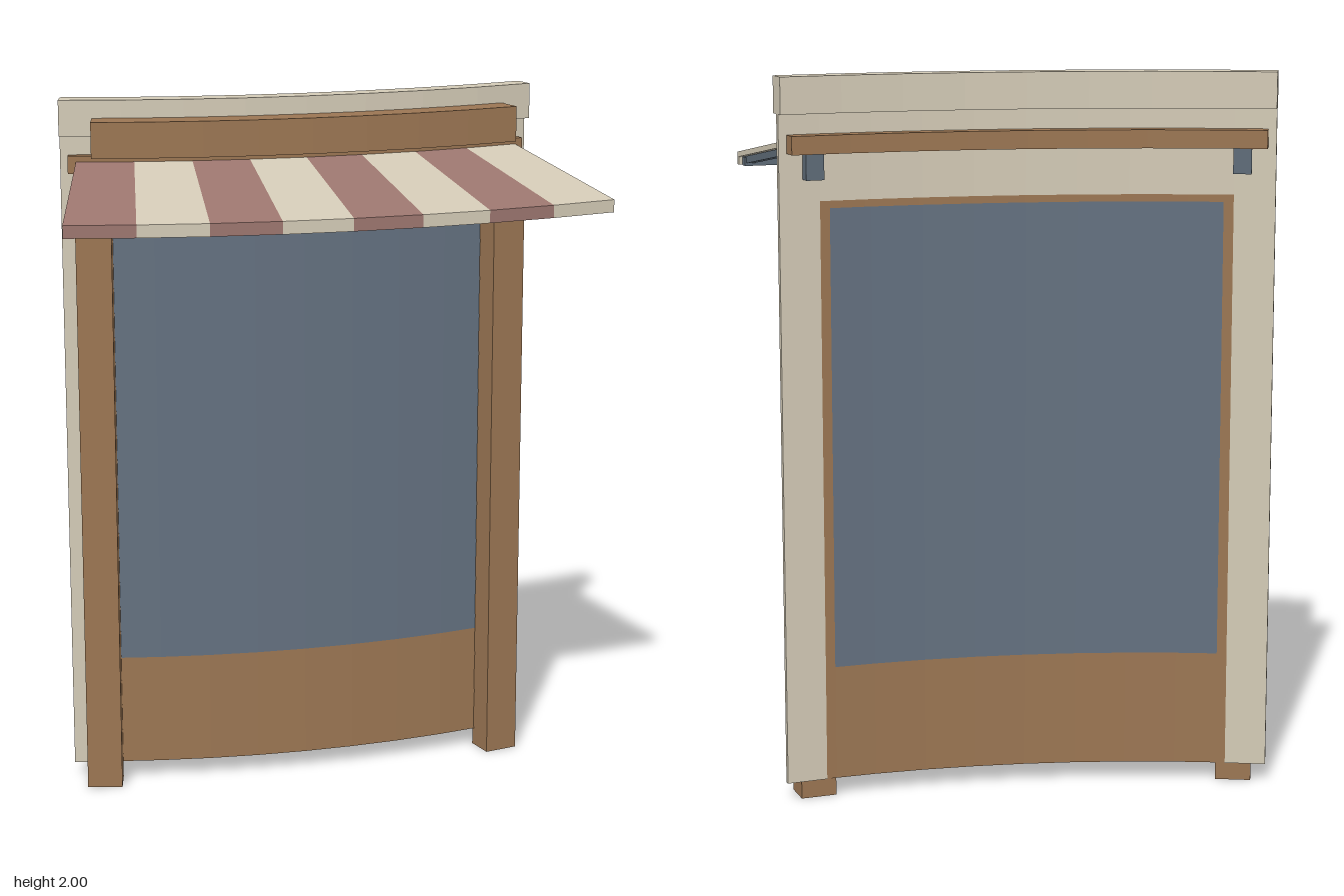
import * as THREE from 'three';

// Centre of the arc that every part follows; angle 0 points to +z, in degrees
const CX = -0.77, CZ = -2.69;
const rad = THREE.MathUtils.degToRad;
const mat = (color) => new THREE.MeshStandardMaterial({ color, flatShading: true });

// Sweep a convex cross-section of [radius, height] points around the arc
function sweep(profile, a0, a1, n) {
  const pos = [], idx = [], m = profile.length;
  for (let i = 0; i <= n; i++) {
    const a = rad(a0 + ((a1 - a0) * i) / n);
    for (const [r, y] of profile) pos.push(CX + r * Math.sin(a), y, CZ + r * Math.cos(a));
  }
  for (let i = 0; i < n; i++) {
    for (let j = 0; j < m; j++) {
      const k = (j + 1) % m, b = i * m, c = b + m;
      idx.push(b + k, b + j, c + j, b + k, c + j, c + k);
    }
  }
  for (let j = 1; j < m - 1; j++) {
    const e = n * m;
    idx.push(0, j, j + 1, e, e + j + 1, e + j);
  }
  const indexed = new THREE.BufferGeometry();
  indexed.setAttribute('position', new THREE.Float32BufferAttribute(pos, 3));
  indexed.setIndex(idx);
  const geo = indexed.toNonIndexed();
  geo.computeVertexNormals();
  return geo;
}

const rect = (r0, r1, y0, y1) => [[r0, y0], [r1, y0], [r1, y1], [r0, y1]];

export function createModel() {
  const model = new THREE.Group();
  model.name = 'curvedShopfront';
  const wood = mat(0x9b7653), cream = mat(0xd3cab6), red = mat(0x9c766f);
  const glass = mat(0x647180), metal = mat(0x5f6c78);

  const add = (parent, name, geo, material) => {
    const mesh = new THREE.Mesh(geo, material);
    mesh.name = name;
    parent.add(mesh);
    return mesh;
  };
  const arc = (name, material, r0, r1, y0, y1, a0, a1, n = 8) =>
    add(model, name, sweep(rect(r0, r1, y0, y1), a0, a1, n), material);

  // Straight box set radially at an angle
  const radialBox = (name, material, w, h, d, r, y, angle, tilt = 0) => {
    const a = rad(angle);
    const mesh = add(model, name, new THREE.BoxGeometry(w, h, d), material);
    mesh.position.set(CX + r * Math.sin(a), y, CZ + r * Math.cos(a));
    mesh.rotation.set(tilt, a, 0, 'YXZ');
    return mesh;
  };

  // Wall around the window opening
  arc('wallRight', cream, 2.6, 2.615, 0.05, 1.9, 0, 2.5, 1);
  arc('wallLeft', cream, 2.6, 2.615, 0.05, 1.9, 27.5, 30, 1);
  arc('wallHeader', cream, 2.6, 2.615, 1.665, 1.9, 2.5, 27.5);

  // Window and the panel below it
  arc('windowGlass', glass, 2.602, 2.612, 0.37, 1.65, 2.5, 27.5);
  arc('lowerPanel', wood, 2.602, 2.612, 0.05, 0.37, 2.5, 27.5);
  arc('windowLintel', wood, 2.601, 2.69, 1.645, 1.71, 2, 28);

  // Posts, with jambs showing at the back of the opening
  for (const [side, angle, jamb] of [['right', 2, 2.5], ['left', 28, 26.9]]) {
    radialBox(side + 'Post', wood, 0.1, 1.71, 0.085, 2.647, 0.855, angle);
    arc(side + 'Jamb', wood, 2.601, 2.613, 0.05, 1.665, jamb, jamb + 0.6, 1);
  }

  // Cornice, sign board and awning rail
  arc('cornice', cream, 2.58, 2.64, 1.9, 2, 0, 30);
  arc('signBoard', wood, 2.64, 2.72, 1.85, 1.95, 2, 28);
  arc('awningRail', wood, 2.555, 2.64, 1.795, 1.845, 0.5, 29.5);

  // Striped awning: sloping cloth and hanging valance
  const awning = new THREE.Group();
  awning.name = 'awning';
  model.add(awning);
  const cloth = [[2.63, 1.815], [3.15, 1.73], [3.15, 1.745], [2.63, 1.83]];
  const valance = rect(3.135, 3.15, 1.71, 1.732);
  for (let i = 0; i < 8; i++) {
    const a = 1 + i * 3.5, m = i % 2 ? cream : red;
    add(awning, 'clothStripe', sweep(cloth, a, a + 3.5, 1), m);
    add(awning, 'valanceStripe', sweep(valance, a, a + 3.5, 1), m);
  }

  // Awning frame: front bar, side arms and wall brackets
  arc('awningFrontBar', metal, 3.11, 3.135, 1.708, 1.732, 1.2, 28.8);
  for (const [side, angle] of [['right', 1.5], ['left', 28.5]]) {
    radialBox(side + 'AwningArm', metal, 0.025, 0.02, 0.52, 2.88, 1.763, angle, 0.16);
  }
  for (const [side, angle] of [['right', 2], ['left', 28]]) {
    radialBox(side + 'AwningBracket', metal, 0.05, 0.07, 0.07, 2.6, 1.76, angle);
  }

  return model;
}
